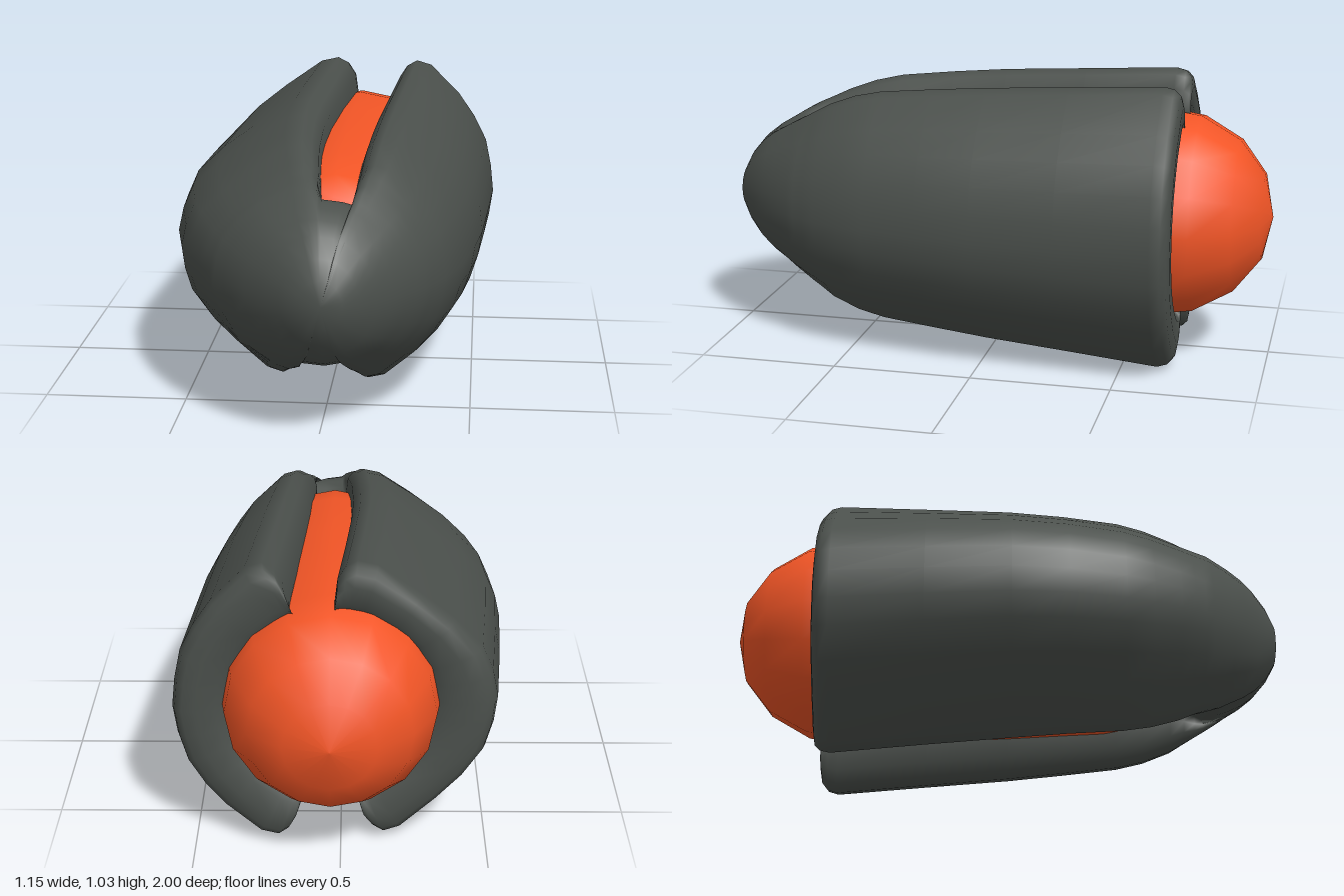
import * as THREE from 'three';
import { mergeVertices } from 'three/addons/utils/BufferGeometryUtils.js';

const CY = 0.52;

// Full cross-section at the rear, clockwise seen from the front: two lobes and two slots
const SECTION = [
  // upper slot floor and right lobe
  [0.08, 0.79], [0.15, 0.79], [0.158, 0.89], [0.18, 0.96], [0.21, 1.005], [0.25, 1.027], [0.31, 1.01],
  [0.43, 0.895], [0.495, 0.805], [0.545, 0.71], [0.568, 0.605], [0.58, 0.5], [0.565, 0.4], [0.535, 0.3],
  [0.475, 0.205], [0.4, 0.12], [0.275, 0.015], [0.21, 0], [0.175, 0.025], [0.15, 0.07], [0.125, 0.15],
  // lower slot floor and left lobe
  [0.12, 0.25], [0.02, 0.25], [-0.085, 0.25], [-0.09, 0.15], [-0.11, 0.08], [-0.14, 0.04], [-0.18, 0.015],
  [-0.24, 0.035], [-0.37, 0.15], [-0.465, 0.245], [-0.54, 0.35], [-0.568, 0.445], [-0.58, 0.54],
  [-0.56, 0.635], [-0.52, 0.73], [-0.42, 0.83], [-0.3, 0.92], [-0.15, 1.02], [-0.08, 1.035],
  [-0.04, 1.015], [-0.01, 0.97], [0, 0.89], [0.01, 0.79],
].map(([x, y]) => [x, y - CY]);

// Stations from nose to rear: z, centre x, half width, half height, slot fill
const STATIONS = [
  [1, 0.025, 0, 0, 1], [0.985, 0.02, 0.075, 0.08, 1], [0.95, 0.015, 0.13, 0.145, 1],
  [0.9, 0.01, 0.19, 0.205, 1], [0.85, 0.005, 0.245, 0.245, 0.98], [0.8, 0, 0.29, 0.275, 0.94],
  [0.76, 0, 0.32, 0.3, 0.86], [0.72, -0.005, 0.352, 0.322, 0.72], [0.69, -0.005, 0.37, 0.335, 0.55],
  [0.65, -0.01, 0.392, 0.352, 0.3], [0.6, -0.01, 0.42, 0.375, 0.1], [0.5, -0.018, 0.462, 0.41, 0],
  [0.4, -0.025, 0.495, 0.432, 0], [0.2, -0.03, 0.535, 0.452, 0], [0, -0.025, 0.555, 0.47, 0],
  [-0.3, -0.005, 0.555, 0.49, 0], [-0.63, 0.02, 0.55, 0.513, 0],
];

// Rounded rear rim: z, amount pulled in toward the core
const RIM = [[-0.665, 0.05], [-0.685, 0.17], [-0.692, 0.4], [-0.688, 0.75], [-0.65, 1]];

function shellGeometry() {
  const rings = STATIONS.map(([z, cx, hw, hh, fill]) => SECTION.map(([x, y]) => {
    // fill blends the slotted section into a plain oval
    const a = Math.atan2(y / 0.515, x / 0.58);
    const px = THREE.MathUtils.lerp(x, 0.58 * Math.cos(a), fill);
    const py = THREE.MathUtils.lerp(y, 0.515 * Math.sin(a), fill);
    return [cx + px * hw / 0.58, CY + py * hh / 0.515, z];
  }));
  const last = rings[rings.length - 1];
  for (const [z, t] of RIM) {
    rings.push(last.map(([x, y]) => {
      const dx = x - 0.03, dy = y - CY, r = Math.hypot(dx, dy);
      const k = THREE.MathUtils.lerp(r, Math.min(r, 0.34), t) / r;
      return [0.03 + dx * k, CY + dy * k, z];
    }));
  }
  const n = SECTION.length, index = [];
  for (let i = 0; i < rings.length - 1; i++) {
    for (let j = 0; j < n; j++) {
      const a = i * n + j, b = i * n + (j + 1) % n;
      index.push(b, b + n, a + n);
      if (i > 0) index.push(a, b, a + n);
    }
  }
  let geo = new THREE.BufferGeometry();
  geo.setAttribute('position', new THREE.Float32BufferAttribute(rings.flat(2), 3));
  geo.setIndex(index);
  geo = mergeVertices(geo);
  geo.computeVertexNormals();
  return geo;
}

function coreGeometry() {
  // radius, distance along the axis (rear to front)
  const profile = [
    [0, -1], [0.155, -0.967], [0.275, -0.875], [0.355, -0.735], [0.375, -0.6], [0.375, -0.3],
    [0.365, 0], [0.345, 0.35], [0.31, 0.52], [0.26, 0.63], [0.15, 0.69], [0, 0.71],
  ].map(([r, h]) => new THREE.Vector2(r, h));
  return new THREE.LatheGeometry(profile, 16).rotateX(Math.PI / 2);
}

export function createModel() {
  const group = new THREE.Group();
  const add = (name, geo, color) => {
    const mesh = new THREE.Mesh(geo, new THREE.MeshStandardMaterial({ color }));
    mesh.name = name;
    group.add(mesh);
    return mesh;
  };
  // dark slotted casing
  add('slottedShell', shellGeometry(), 0x4b504c);
  // rounded core showing at the rear and through the slots
  add('innerCore', coreGeometry(), 0xf25526).position.set(0.033, 0.525, 0);
  return group;
}
